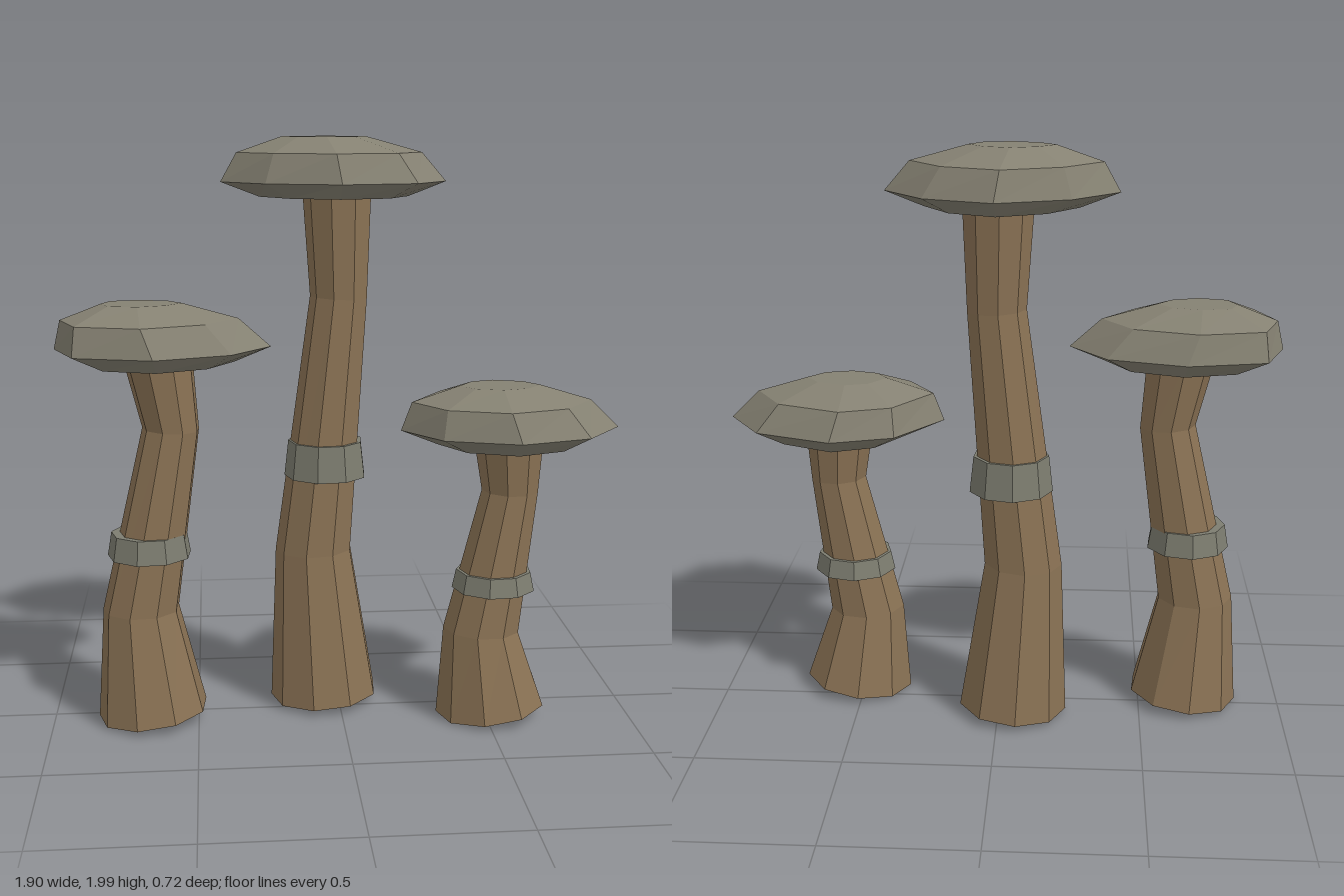
import * as THREE from 'three';

const stemMat = new THREE.MeshStandardMaterial({ color: 0x8b7355, flatShading: true });
stemMat.name = 'stemBrown';
const capMat = new THREE.MeshStandardMaterial({ color: 0x858172, flatShading: true });
capMat.name = 'capGrey';
const bandMat = new THREE.MeshStandardMaterial({ color: 0x7d7d70, flatShading: true });
bandMat.name = 'bandGrey';

// Closed faceted solid through rings of points, listed bottom to top,
// each ring counter-clockwise as seen from above
function loft(rings, material, name) {
  const pos = [];
  const tri = (a, b, c) => pos.push(...a, ...b, ...c);
  const middle = (ring) => [0, 1, 2].map((k) => ring.reduce((s, p) => s + p[k], 0) / ring.length);
  const n = rings[0].length;
  const first = rings[0], last = rings[rings.length - 1];
  const low = middle(first), high = middle(last);
  for (let i = 0; i < n; i++) {
    const j = (i + 1) % n;
    for (let r = 0; r < rings.length - 1; r++) {
      const a = rings[r], b = rings[r + 1];
      tri(a[i], a[j], b[j]);
      tri(a[i], b[j], b[i]);
    }
    tri(low, first[j], first[i]);
    tri(high, last[i], last[j]);
  }
  const geo = new THREE.BufferGeometry();
  geo.setAttribute('position', new THREE.Float32BufferAttribute(pos, 3));
  geo.computeVertexNormals();
  const mesh = new THREE.Mesh(geo, material);
  mesh.name = name;
  return mesh;
}

// Nine-sided ring; slope tilts it along x
function ring(x, y, z, radius, slope = 0) {
  return Array.from({ length: 9 }, (_, i) => {
    const a = ((15 + i * 40) * Math.PI) / 180;
    const dx = radius * Math.cos(a);
    return [x + dx, y + slope * dx, z - radius * Math.sin(a)];
  });
}

// Cap: rim outline scaled into underside, rim, shoulder and crown
function cap(outline, x, z, baseY, shoulderX, crownX) {
  const level = (y, sx, sz, cx) =>
    outline.map(([px, pz]) => [cx + (px - x) * sx, baseY + y, z + (pz - z) * sz]);
  return loft([
    level(0, 0.66, 0.8, x),
    level(0.05, 1, 1, x),
    level(0.147, 0.82, 0.87, shoulderX),
    level(0.2, 0.37, 0.36, crownX),
  ], capMat, 'cap');
}

// stem: [x, y, radius, slope]; band: [x, lowY, highY]
const mushrooms = [
  {
    name: 'tallMushroom', z: -0.08,
    stem: [[-0.05, 0.03, 0.19, 0.066], [-0.085, 0.57, 0.135, 0.03], [0.005, 1.46, 0.1, -0.05], [0, 1.83, 0.12, 0]],
    band: [-0.043, 0.835, 0.96],
    outline: [[0.37, -0.085], [0.23, -0.27], [0, -0.36], [-0.24, -0.265], [-0.395, -0.09], [-0.25, 0.08], [-0.005, 0.17], [0.25, 0.1]],
    cap: [-0.01, -0.09, 1.8, -0.025, -0.045],
  },
  {
    name: 'rightMushroom', z: 0.045,
    stem: [[-0.658, 0.03, 0.19, 0.105], [-0.69, 0.405, 0.132, 0], [-0.575, 1.035, 0.097, -0.05], [-0.615, 1.29, 0.12, 0]],
    band: [-0.657, 0.595, 0.677],
    outline: [[-0.235, 0.04], [-0.36, -0.14], [-0.62, -0.22], [-0.885, -0.16], [-0.955, 0.04], [-0.88, 0.24], [-0.62, 0.315], [-0.37, 0.22]],
    cap: [-0.6, 0.045, 1.26, -0.642, -0.665],
  },
  {
    name: 'leftMushroom', z: 0.1,
    stem: [[0.523, 0.03, 0.19, 0.13], [0.487, 0.318, 0.132, -0.03], [0.578, 0.81, 0.097, -0.03], [0.57, 1.0, 0.12, 0]],
    band: [0.527, 0.465, 0.53],
    outline: [[0.95, 0.095], [0.825, -0.1], [0.56, -0.2], [0.35, -0.13], [0.2, 0.095], [0.32, 0.275], [0.565, 0.355], [0.81, 0.28]],
    cap: [0.57, 0.09, 0.975, 0.54, 0.535],
  },
];

export function createModel() {
  const model = new THREE.Group();
  model.name = 'mushroomCluster';
  for (const m of mushrooms) {
    const group = new THREE.Group();
    group.name = m.name;
    // Bent, tapering stem
    group.add(loft(m.stem.map(([x, y, r, s]) => ring(x, y, m.z, r, s)), stemMat, 'stem'));
    // Flared band around the stem
    const [bx, lowY, highY] = m.band;
    group.add(loft([ring(bx, lowY, m.z, 0.144), ring(bx, highY, m.z, 0.13)], bandMat, 'band'));
    group.add(cap(m.outline, ...m.cap));
    model.add(group);
  }
  return model;
}
